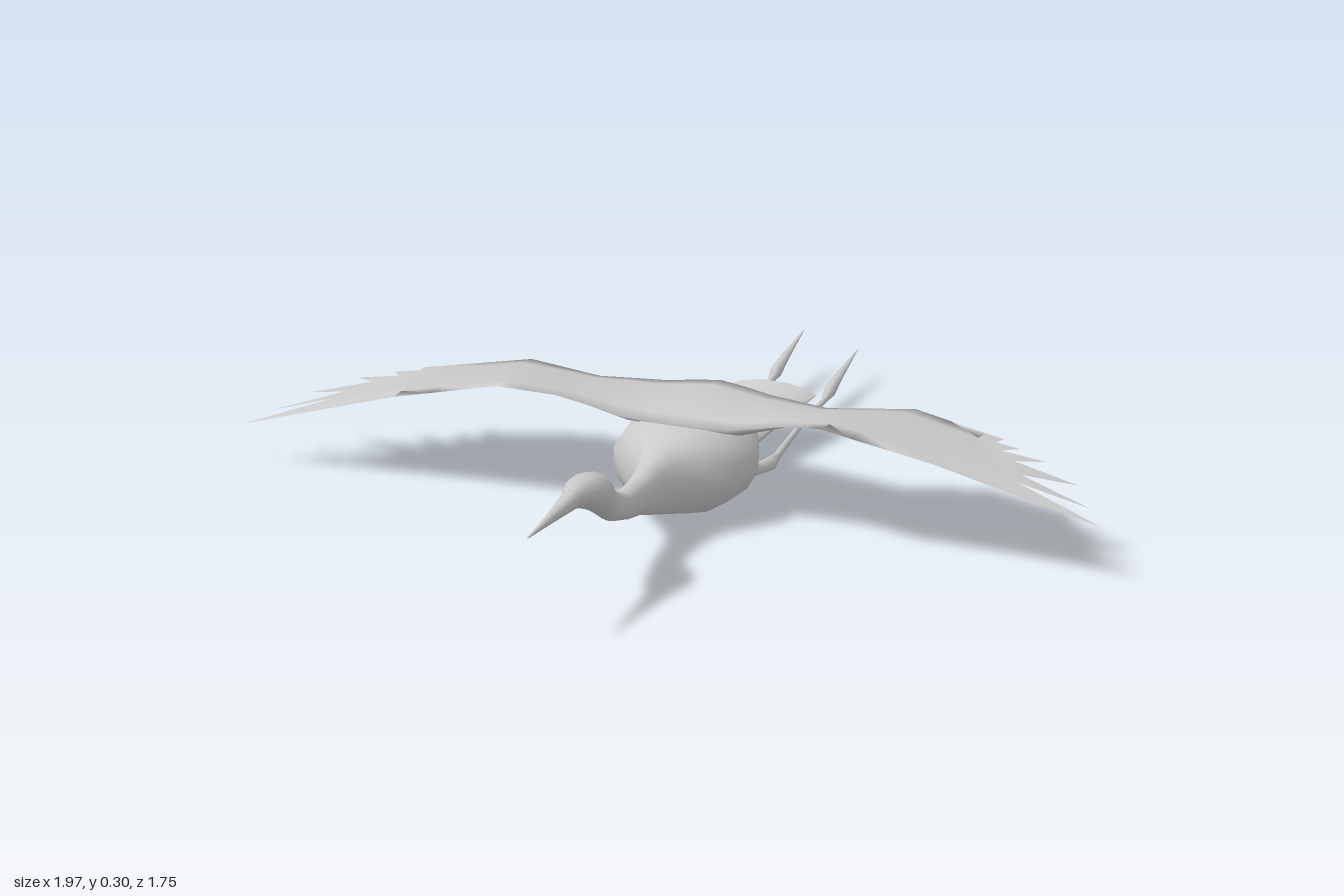
import * as THREE from 'three';

const material = new THREE.MeshStandardMaterial({ color: 0xcccccc });
const thinMaterial = new THREE.MeshStandardMaterial({ color: 0xcccccc, side: THREE.DoubleSide });

// piecewise linear lookup in [[x, value], ...]
function lookup(keys, x) {
  for (let i = 1; i < keys.length; i++) {
    const [x0, v0] = keys[i - 1], [x1, v1] = keys[i];
    if (x <= x1) return v0 + (v1 - v0) * (x - x0) / (x1 - x0);
  }
  return keys[keys.length - 1][1];
}

// skin a list of rings and cap both ends
function skin(rings, name) {
  const n = rings[0].length, pos = rings.flat(2), idx = [];
  const at = (i, j) => i * n + (j % n);
  for (let i = 0; i < rings.length - 1; i++)
    for (let j = 0; j < n; j++)
      idx.push(at(i, j), at(i + 1, j), at(i, j + 1), at(i, j + 1), at(i + 1, j), at(i + 1, j + 1));
  for (const i of [0, rings.length - 1]) {
    const base = pos.length / 3;
    pos.push(...rings[i].flat());
    for (let j = 1; j < n - 1; j++)
      idx.push(base, base + (i ? j + 1 : j), base + (i ? j : j + 1));
  }
  const g = new THREE.BufferGeometry();
  g.setAttribute('position', new THREE.Float32BufferAttribute(pos, 3));
  g.setIndex(idx);
  g.computeVertexNormals();
  const mesh = new THREE.Mesh(g, material);
  mesh.name = name;
  return mesh;
}

// oval rings from front to back: [z, centre x, bottom y, top y, half width]
function oval(sections, sides, name, arch = 0) {
  return skin(sections.map(([z, x, y0, y1, w]) =>
    Array.from({ length: sides }, (_, j) => {
      const a = (j + 0.5) / sides * Math.PI * 2, c = Math.cos(a), s = Math.sin(a);
      const px = Math.sign(c) * Math.pow(Math.abs(c), 0.85);
      return [x + px * w, (y0 + y1) / 2 + s * (y1 - y0) / 2 - arch * c * c, z];
    })), name);
}

// wing plan and heights along the half span
const LEAD_Z = [[0, 0.07], [0.12, 0.06], [0.25, 0.075], [0.37, 0.14], [0.985, 0.06]];
const TRAIL_Z = [[0, -0.22], [0.08, -0.215], [0.26, -0.18], [0.44, -0.235], [0.62, -0.19]];
const LEAD_Y = [[0, 0.235], [0.12, 0.235], [0.25, 0.268], [0.37, 0.303], [0.77, 0.212], [0.985, 0.138]];
const TRAIL_Y = [[0, 0.235], [0.12, 0.222], [0.26, 0.222], [0.44, 0.226], [0.62, 0.212], [0.8, 0.192], [0.985, 0.138]];
const THICK = [[0, 0.06], [0.12, 0.055], [0.25, 0.022], [0.44, 0.012], [0.62, 0.004]];
const HAND = 0.62;

// upper wing surface; the right wing hangs slightly lower
function wingY(x, z) {
  const s = Math.abs(x), zl = lookup(LEAD_Z, s), zt = lookup(TRAIL_Z, s);
  const t = THREE.MathUtils.clamp((zl - z) / (zl - zt), 0, 1);
  const roll = x < 0 ? Math.max(0, s - 0.25) * 0.06 : 0;
  return THREE.MathUtils.lerp(lookup(LEAD_Y, s), lookup(TRAIL_Y, s), t)
    + 0.012 * Math.sin(Math.PI * t) * (1 - s) - roll;
}

function chordZ(x, t) {
  const s = Math.abs(x);
  return THREE.MathUtils.lerp(lookup(LEAD_Z, s), lookup(TRAIL_Z, s), t);
}

// both inner wings as one continuous closed surface
function wingPanel() {
  const half = [0.06, 0.12, 0.19, 0.26, 0.32, 0.37, 0.44, 0.53, HAND];
  const stations = [...half.map(x => -x).reverse(), 0, ...half];
  const steps = 6;
  return skin(stations.map(x => {
    const ring = [];
    for (let i = 0; i <= steps; i++) {
      const z = chordZ(x, i / steps);
      ring.push([x, wingY(x, z), z]);
    }
    for (let i = steps - 1; i > 0; i--) {
      const z = chordZ(x, i / steps);
      const drop = lookup(THICK, Math.abs(x)) * Math.sin(Math.PI * i / steps);
      ring.push([x, wingY(x, z) - drop, z]);
    }
    return ring;
  }), 'wings');
}

// notched wing tip with finger feathers
function featherTip(side) {
  const outline = [[0.985, 0.06], [0.785, 0.042], [0.935, 0.005], [0.775, 0.0], [0.88, -0.07],
    [0.735, -0.06], [0.79, -0.112], [0.69, -0.1], [0.715, -0.142], [0.66, -0.145], [0.665, -0.18]];
  for (let i = 6; i >= 0; i--) outline.push([HAND, chordZ(HAND, i / 6)]);
  const shape = new THREE.Shape(outline.map(([x, z]) => new THREE.Vector2(x, -z)));
  const g = new THREE.ShapeGeometry(shape);
  const p = g.attributes.position;
  for (let i = 0; i < p.count; i++) {
    const x = p.getX(i) * side, z = -p.getY(i);
    p.setXYZ(i, x, wingY(x, z), z);
  }
  if (side > 0 === false) {
    const ix = g.index.array;
    for (let i = 0; i < ix.length; i += 3) [ix[i], ix[i + 1]] = [ix[i + 1], ix[i]];
  }
  g.computeVertexNormals();
  const mesh = new THREE.Mesh(g, thinMaterial);
  mesh.name = side > 0 ? 'leftFeathers' : 'rightFeathers';
  return mesh;
}

// trailing leg: thigh, knee, shank and pointed closed foot
function leg(side) {
  const lift = side < 0 ? 0.027 : 0;
  const x = side < 0 ? -0.068 : 0.055;
  return oval([
    [-0.12, side * 0.06, 0.04, 0.09, 0.025],
    [-0.2, side * 0.065, 0.025, 0.065, 0.022],
    [-0.27, side * 0.068, 0.012, 0.04, 0.014],
    [-0.32, side * 0.07, 0.002, 0.035, 0.016],
    [-0.37, side * 0.067, 0.01 + lift * 0.2, 0.026 + lift * 0.3, 0.008],
    [-0.52, x, 0.019 + lift * 0.6, 0.033 + lift * 0.6, 0.006],
    [-0.67, x, 0.03 + lift, 0.045 + lift, 0.006],
    [-0.7, x, 0.033 + lift, 0.06 + lift, 0.013],
    [-0.76, x - 0.003, 0.05 + lift, 0.068 + lift, 0.009],
    [-0.875, x - 0.006, 0.078 + lift, 0.08 + lift, 0.001],
  ], 6, side > 0 ? 'leftLeg' : 'rightLeg');
}

export function createModel() {
  const group = new THREE.Group();

  // body, neck and head
  group.add(oval([
    [0.64, 0, 0.245, 0.29, 0.02],
    [0.6, 0, 0.235, 0.298, 0.033],
    [0.55, 0, 0.213, 0.294, 0.044],
    [0.5, 0, 0.19, 0.282, 0.043],
    [0.46, 0, 0.165, 0.258, 0.033],
    [0.43, 0, 0.145, 0.225, 0.026],
    [0.39, 0, 0.13, 0.198, 0.025],
    [0.34, 0, 0.115, 0.18, 0.025],
    [0.26, 0, 0.098, 0.182, 0.028],
    [0.2, 0, 0.076, 0.195, 0.036],
    [0.15, 0, 0.06, 0.21, 0.055],
    [0.1, 0, 0.043, 0.222, 0.098],
    [0.04, 0, 0.027, 0.235, 0.145],
    [-0.05, 0, 0.025, 0.237, 0.156],
    [-0.13, 0, 0.025, 0.235, 0.125],
    [-0.2, 0, 0.026, 0.222, 0.088],
    [-0.25, 0, 0.035, 0.165, 0.056],
    [-0.3, 0, 0.05, 0.1, 0.035],
  ], 14, 'body'));

  // long pointed beak
  group.add(oval([
    [0.88, 0, 0.264, 0.267, 0.002],
    [0.75, 0, 0.253, 0.278, 0.011],
    [0.63, 0, 0.243, 0.291, 0.022],
  ], 8, 'beak'));

  // flared tail fan
  group.add(oval([
    [-0.2, 0, 0.062, 0.11, 0.05],
    [-0.28, 0, 0.075, 0.105, 0.053],
    [-0.4, 0, 0.1, 0.116, 0.074],
    [-0.52, 0, 0.119, 0.128, 0.098],
  ], 12, 'tail', 0.018));

  group.add(wingPanel());
  for (const side of [1, -1]) group.add(featherTip(side), leg(side));
  return group;
}
